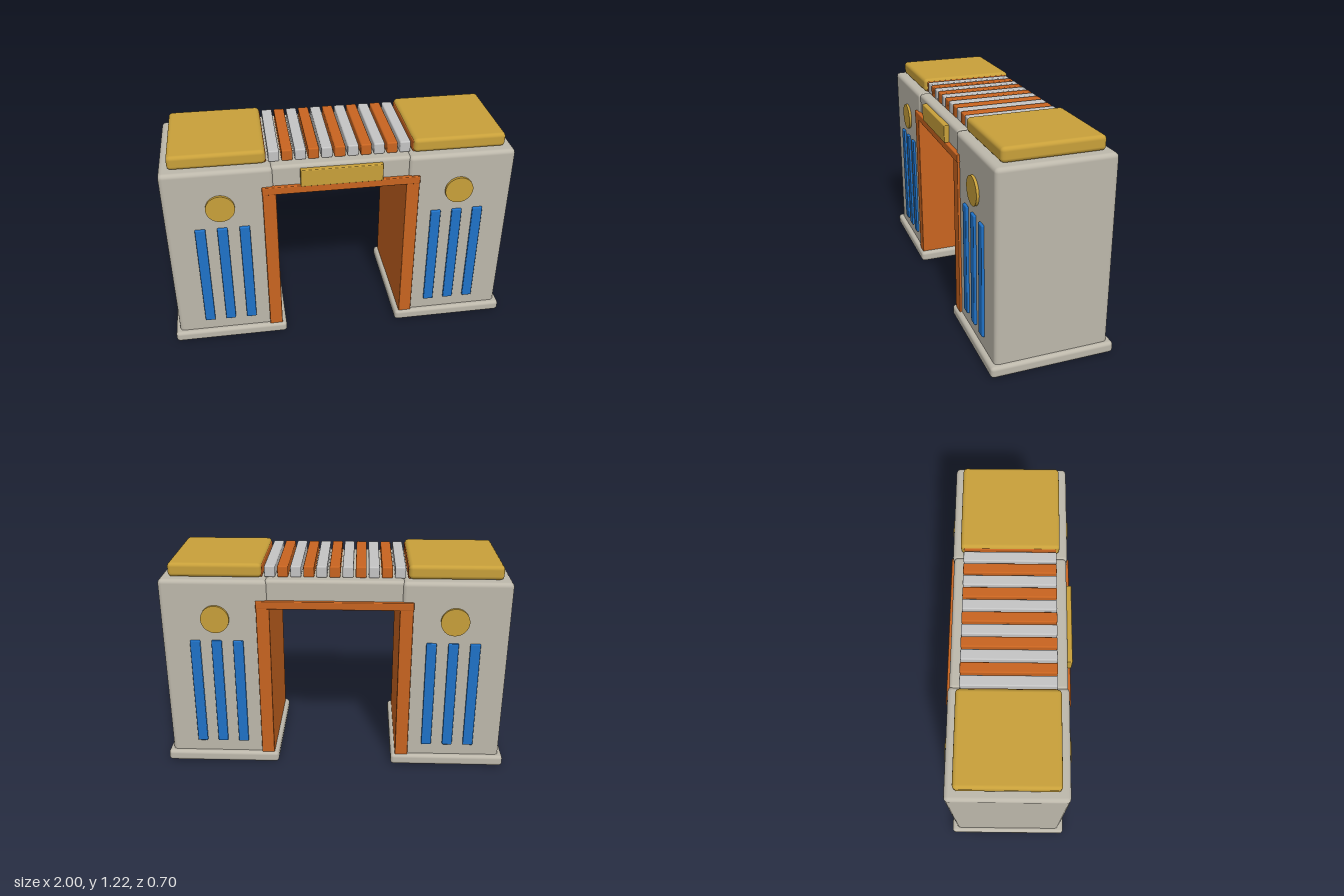
import * as THREE from 'three';
import { RoundedBoxGeometry } from 'three/addons/geometries/RoundedBoxGeometry.js';

function material(name, color) {
  const m = new THREE.MeshStandardMaterial({ color });
  m.name = name;
  return m;
}

export function createModel() {
  const root = new THREE.Group();
  root.name = 'gateway';
  const stone = material('stone', 0xbdb8ab);
  const orange = material('orange', 0xc86420);
  const gold = material('gold', 0xc8a03a);
  const blue = material('blue', 0x1f72c8);
  const silver = material('silver', 0xc4c4c4);

  // Box given by its limits on each axis, with softened edges of radius r
  function block(name, mat, [x0, x1], [y0, y1], [z0, z1], r = 0, parent = root) {
    const size = [x1 - x0, y1 - y0, z1 - z0];
    const geo = r ? new RoundedBoxGeometry(...size, 2, r) : new THREE.BoxGeometry(...size);
    const mesh = new THREE.Mesh(geo, mat);
    mesh.name = name;
    mesh.position.set((x0 + x1) / 2, (y0 + y1) / 2, (z0 + z1) / 2);
    parent.add(mesh);
    return mesh;
  }
  const span = (c, w) => [c - w / 2, c + w / 2];
  const side = (s, a, b) => (s > 0 ? [a, b] : [-b, -a]);

  // Two towers with plinth, roof pad, doorway lining and face ornaments
  for (const s of [1, -1]) {
    const tower = new THREE.Group();
    tower.name = s > 0 ? 'leftTower' : 'rightTower';
    root.add(tower);
    block('towerBody', stone, side(s, 0.37, 0.975), [0.01, 1.14], [-0.322, 0.322], 0.025, tower);
    block('plinth', stone, side(s, 0.335, 1), [0, 0.065], [-0.35, 0.35], 0.02, tower);
    block('roofPad', gold, side(s, 0.405, 0.925), [1.14, 1.22], [-0.275, 0.275], 0.022, tower);
    block('doorLining', orange, side(s, 0.36, 0.4), [0.01, 1.0], [-0.32, 0.32], 0, tower);

    for (const f of [1, -1]) {
      block('doorPost', orange, side(s, 0.36, 0.435), [0.01, 0.985], side(f, 0.3, 0.335), 0.005, tower);
      for (const x of [0.543, 0.666, 0.788]) {
        block('bluePanel', blue, span(s * x, 0.058), [0.135, 0.785], side(f, 0.31, 0.336), 0.006, tower);
      }
      const disc = new THREE.Mesh(new THREE.CylinderGeometry(0.08, 0.08, 0.03, 32), gold);
      disc.name = 'roundel';
      disc.rotation.x = Math.PI / 2;
      disc.position.set(s * 0.667, 0.915, f * 0.322);
      tower.add(disc);
    }
  }

  // Bridge between the towers, with its orange soffit and edge trims
  block('bridge', stone, [-0.385, 0.385], [0.99, 1.142], [-0.314, 0.314], 0.02);
  block('soffit', orange, [-0.37, 0.37], [0.98, 1.0], [-0.32, 0.32]);
  for (const f of [1, -1]) {
    block('doorHeader', orange, [-0.437, 0.437], [0.98, 1.025], side(f, 0.3, 0.337), 0.005);
  }
  block('plaque', gold, [-0.226, 0.226], [1.022, 1.122], [0.308, 0.342], 0.005);

  // Alternating slats across the bridge roof
  for (let i = -6; i <= 6; i++) {
    block('roofSlat', i % 2 ? silver : orange, span(i * 0.072, 0.06), [1.14, 1.205], [-0.257, 0.257], 0.008);
  }
  return root;
}
